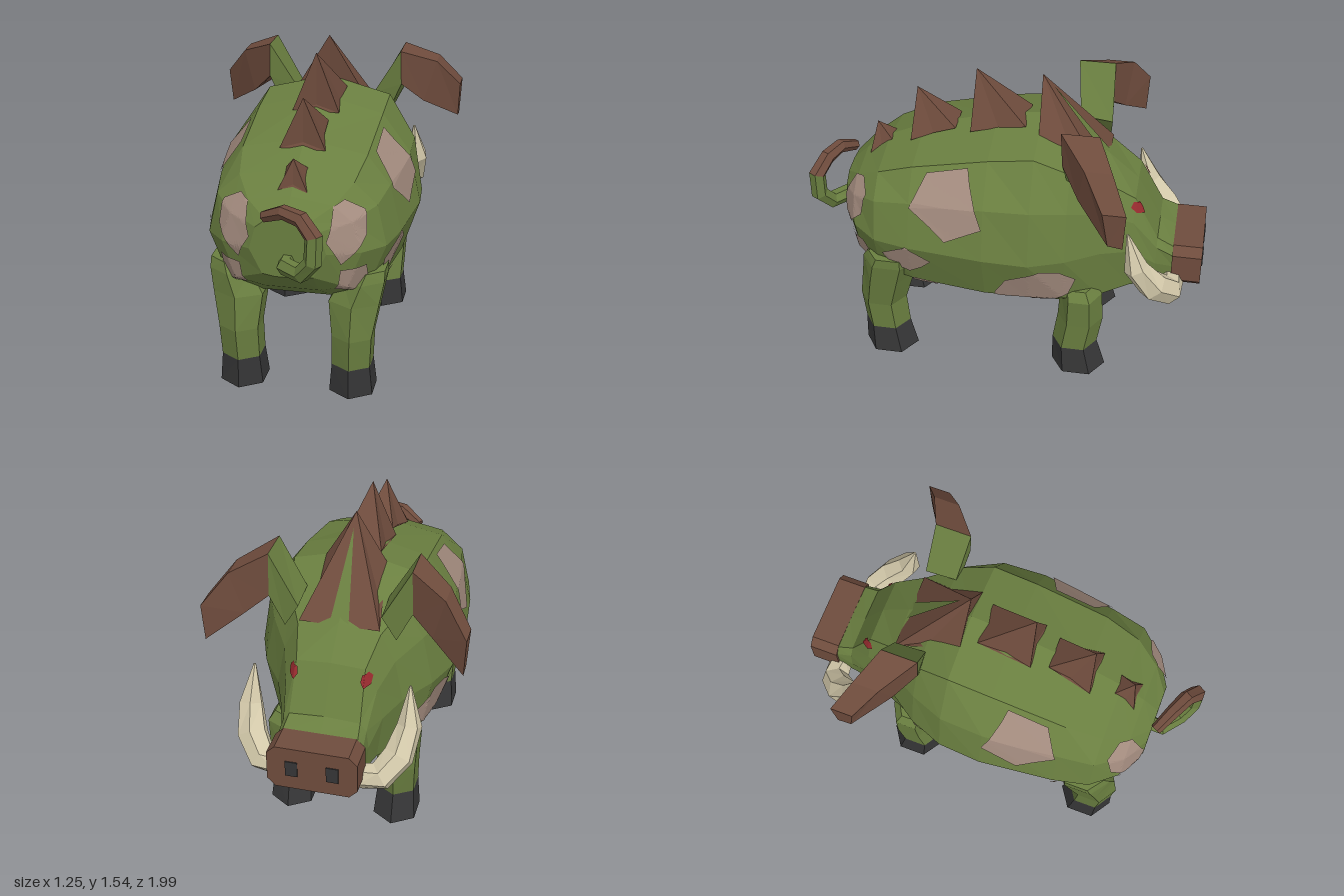
import * as THREE from 'three';

const V = (x, y, z) => new THREE.Vector3(x, y, z);
const mat = (name, color) => Object.assign(new THREE.MeshStandardMaterial({ color }), { name });

// Faceted solid through rings of points, closed at both ends and wound outwards
function loft(rings) {
  const n = rings[0].length, tris = [];
  for (let i = 0; i < rings.length - 1; i++) {
    for (let j = 0; j < n; j++) {
      const a = rings[i][j], b = rings[i][(j + 1) % n];
      const c = rings[i + 1][(j + 1) % n], d = rings[i + 1][j];
      tris.push([a, b, c], [a, c, d]);
    }
  }
  const first = rings[0], last = rings[rings.length - 1];
  for (let j = 1; j < n - 1; j++) {
    tris.push([first[0], first[j + 1], first[j]], [last[0], last[j], last[j + 1]]);
  }
  const volume = tris.reduce((s, [a, b, c]) => s + a.dot(b.clone().cross(c)), 0);
  return fromTriangles(volume < 0 ? tris.map(([a, b, c]) => [a, c, b]) : tris);
}

function fromTriangles(tris) {
  const g = new THREE.BufferGeometry().setFromPoints(tris.flat());
  g.computeVertexNormals();
  return g;
}

// Hexagonal rings along a path
function pathRings(path, radii, ref) {
  return path.map((p, i) => {
    const t = path[Math.min(i + 1, path.length - 1)].clone().sub(path[Math.max(i - 1, 0)]).normalize();
    const u = t.clone().cross(ref).normalize(), v = t.clone().cross(u);
    return Array.from({ length: 6 }, (_, k) => {
      const a = (k + 0.5) * Math.PI / 3;
      return p.clone().addScaledVector(u, radii[i] * Math.cos(a)).addScaledVector(v, radii[i] * Math.sin(a));
    });
  });
}

// Thin painted patch: an outline projected onto a target mesh
function patch(target, outline, toOrigin, dir) {
  const steps = 6, bands = 10, ray = new THREE.Raycaster(), edge = [], tris = [];
  const cx = outline.reduce((s, p) => s + p[0], 0) / outline.length;
  const cy = outline.reduce((s, p) => s + p[1], 0) / outline.length;
  outline.forEach((p, i) => {
    const q = outline[(i + 1) % outline.length];
    for (let k = 0; k < steps; k++) edge.push([p[0] + (q[0] - p[0]) * k / steps, p[1] + (q[1] - p[1]) * k / steps]);
  });
  const project = (p, f) => {
    ray.set(toOrigin(cx + (p[0] - cx) * f, cy + (p[1] - cy) * f), dir);
    const hit = ray.intersectObject(target)[0];
    return hit && hit.point.addScaledVector(dir, -0.009);
  };
  const rows = Array.from({ length: bands + 1 }, (_, b) => edge.map(p => project(p, b / bands)));
  const add = (a, b, c) => {
    if (!a || !b || !c) return;
    const facing = b.clone().sub(a).cross(c.clone().sub(a)).dot(dir) < 0;
    tris.push(facing ? [a, b, c] : [a, c, b]);
  };
  for (let b = 0; b < bands; b++) {
    for (let j = 0; j < edge.length; j++) {
      const k = (j + 1) % edge.length;
      add(rows[b][j], rows[b + 1][j], rows[b + 1][k]);
      if (b > 0) add(rows[b][j], rows[b + 1][k], rows[b][k]);
    }
  }
  return fromTriangles(tris);
}

export function createModel() {
  const group = new THREE.Group();
  const green = mat('green hide', 0x6a7f40), brown = mat('brown horn', 0x6f4c3d);
  const pink = mat('dusty pink patch', 0xa48c7f), cream = mat('ivory', 0xd3c9aa);
  const dark = mat('dark hoof', 0x363637), red = mat('red eye', 0x962a2e);
  const add = (name, geometry, material) => {
    const m = new THREE.Mesh(geometry, material);
    m.name = name;
    group.add(m);
    return m;
  };

  // Body and head: z, top y, then ridge, shoulder, flank, lower and belly points (x, y)
  const sections = [
    [0.80, 0.95, 0.10, 0.94, 0.15, 0.90, 0.18, 0.79, 0.12, 0.67, 0.06, 0.66],
    [0.72, 1.03, 0.20, 1.00, 0.28, 0.93, 0.33, 0.78, 0.26, 0.60, 0.13, 0.57],
    [0.60, 1.12, 0.27, 1.07, 0.38, 0.97, 0.425, 0.77, 0.33, 0.53, 0.17, 0.49],
    [0.42, 1.20, 0.30, 1.14, 0.41, 1.00, 0.465, 0.77, 0.38, 0.52, 0.20, 0.43],
    [0.05, 1.30, 0.31, 1.22, 0.45, 1.03, 0.505, 0.77, 0.42, 0.51, 0.20, 0.42],
    [-0.17, 1.33, 0.31, 1.25, 0.44, 1.03, 0.485, 0.75, 0.40, 0.50, 0.18, 0.37],
    [-0.34, 1.25, 0.28, 1.17, 0.37, 1.00, 0.42, 0.75, 0.36, 0.48, 0.17, 0.31],
    [-0.50, 1.13, 0.20, 1.09, 0.27, 0.95, 0.31, 0.74, 0.28, 0.46, 0.15, 0.38],
    [-0.65, 1.00, 0.165, 0.99, 0.22, 0.88, 0.25, 0.73, 0.22, 0.50, 0.13, 0.46],
    [-0.77, 0.78, 0.17, 0.77, 0.20, 0.73, 0.21, 0.64, 0.20, 0.52, 0.15, 0.49],
    [-0.86, 0.735, 0.18, 0.73, 0.205, 0.69, 0.205, 0.63, 0.20, 0.55, 0.17, 0.52],
  ];
  const body = add('body', loft(sections.map(([z, top, ...p]) => {
    const half = [0, 2, 4, 6, 8].map(i => V(p[i], p[i + 1], z));
    const other = half.map(q => V(-q.x, q.y, z)).reverse();
    return [V(0, top, z), ...half, V(0, p[9], z), ...other];
  })), green);

  // Snout with chamfered corners
  const w = 0.215, lo = 0.515, hi = 0.74, c = 0.04;
  const snoutRing = z => [[w - c, lo], [w, lo + c], [w, hi - c], [w - c, hi],
    [c - w, hi], [-w, hi - c], [-w, lo + c], [c - w, lo]].map(([x, y]) => V(x, y, z));
  add('snout', loft([snoutRing(-0.85), snoutRing(-0.995)]), brown);

  // Spikes with hollowed sides: apex y, z; rear z, y, half width; front z, y, half width
  const spikes = [
    [1.19, 0.66, 0.69, 1.04, 0.07, 0.58, 1.12, 0.05],
    [1.41, 0.45, 0.47, 1.165, 0.11, 0.25, 1.24, 0.08],
    [1.54, 0.155, 0.17, 1.25, 0.115, -0.10, 1.30, 0.105],
    [1.54, -0.165, -0.17, 1.29, 0.15, -0.50, 1.11, 0.195],
  ].map(([ay, az, rz, ry, rw, fz, fy, fw]) => {
    const mid = s => V(s * 0.43 * (rw + fw), (ry + fy) / 2, (rz + fz) / 2);
    const base = [V(-rw, ry, rz), V(0, ry + 0.03, rz - 0.015), V(rw, ry, rz), mid(1),
      V(fw, fy, fz), V(-fw, fy, fz), mid(-1)];
    return add('backSpike', loft([base, base.map(() => V(0, ay, az))]), brown);
  });
  add('crestStripe', patch(spikes[3], [[-0.045, -0.497], [0.045, -0.497], [0, -0.22]],
    (x, z) => V(x, 3, z), V(0, -1, 0)), green);

  // Curled tail with a brown end
  const tail = pathRings([V(0, 0.74, 0.76), V(0, 0.735, 0.84), V(0.09, 0.74, 0.91), V(0.15, 0.82, 0.95),
    V(0.155, 0.94, 0.95), V(0.09, 1.005, 0.91), V(0, 1.015, 0.87), V(-0.1, 0.965, 0.82)],
  [0.04, 0.043, 0.043, 0.043, 0.043, 0.039, 0.035, 0.028], V(0.5, 0, -0.86));
  add('tail', loft(tail.slice(0, 5)), green);
  add('tailEnd', loft(tail.slice(4)), brown);

  // Hide patches: flank outlines as (z, y), rump outlines as (distance along the diagonal, y)
  const sidePatches = [
    [[0.417, 0.985], [0.342, 1.135], [0.14, 1.185], [0.123, 1.12], [0.053, 0.935], [0.235, 0.84], [0.31, 0.905]],
    [[0.567, 0.69], [0.433, 0.78], [0.31, 0.7], [0.363, 0.64], [0.43, 0.59], [0.53, 0.62]],
    [[0, 0.53], [-0.06, 0.637], [-0.225, 0.706], [-0.315, 0.69], [-0.395, 0.62], [-0.36, 0.52], [-0.2, 0.43], [-0.04, 0.44]],
    [[0.42, 0.54], [0.28, 0.53], [0.4, 0.45]],
  ];
  const rumpPatches = [
    [[-0.375, 1.0], [-0.44, 0.85], [-0.37, 0.73], [-0.235, 0.86], [-0.225, 0.97], [-0.31, 1.02]],
    [[-0.37, 0.7], [-0.235, 0.705], [-0.2, 0.61], [-0.28, 0.565], [-0.37, 0.59]],
  ];

  // Legs: y, centre x, centre z, half width, half depth
  const legs = {
    rear: [[0.64, 0.34, 0.54, 0.08, 0.12], [0.59, 0.32, 0.55, 0.1, 0.14], [0.48, 0.28, 0.575, 0.12, 0.135],
      [0.31, 0.275, 0.61, 0.095, 0.12], [0.15, 0.27, 0.595, 0.092, 0.118], [0, 0.27, 0.578, 0.105, 0.138]],
    front: [[0.52, 0.27, -0.4, 0.08, 0.09], [0.47, 0.28, -0.415, 0.1, 0.105],
      [0.31, 0.275, -0.415, 0.095, 0.115], [0.15, 0.27, -0.39, 0.092, 0.114], [0, 0.27, -0.412, 0.105, 0.138]],
  };

  for (const s of [1, -1]) {
    const mirror = rings => rings.map(r => r.map(p => V(s * p.x, p.y, p.z)));

    for (const [name, rows] of Object.entries(legs)) {
      const rings = mirror(rows.map(([y, x, z, rx, rz]) => [[0, 1], [1, 0.5], [1, -0.5], [0, -1], [-1, -0.5], [-1, 0.5]]
        .map(([a, b]) => V(x + a * rx, y, z + b * rz))));
      add(name + 'Leg', loft(rings.slice(0, -1)), green);
      add(name + 'Hoof', loft(rings.slice(-2)), dark);
    }

    // Folded ear: green root, brown flap
    const ear = mirror([
      [V(0.2, 1.18, -0.49), V(0.2, 1.2, -0.33), V(0.29, 1.13, -0.33), V(0.27, 1.06, -0.48)],
      [V(0.34, 1.435, -0.48), V(0.34, 1.435, -0.3), V(0.345, 1.26, -0.31), V(0.345, 1.21, -0.48)],
      [V(0.51, 1.355, -0.56), V(0.51, 1.355, -0.43), V(0.45, 1.15, -0.4), V(0.45, 1.13, -0.53)],
      [V(0.625, 1.21, -0.64), V(0.625, 1.21, -0.53), V(0.615, 1.03, -0.56), V(0.615, 1.02, -0.63)],
    ]);
    add('earRoot', loft(ear.slice(0, 2)), green);
    add('earFlap', loft(ear.slice(1)), brown);

    // Upturned tusk
    add('tusk', loft(mirror(pathRings([V(0.19, 0.535, -0.855), V(0.285, 0.545, -0.845), V(0.355, 0.62, -0.77),
      V(0.385, 0.74, -0.685), V(0.375, 0.925, -0.635)], [0.06, 0.072, 0.076, 0.06, 0.006], V(0.7, 0, -0.7)))), cream);

    // Painted details
    const d = Math.SQRT1_2;
    for (const p of sidePatches) add('flankPatch', patch(body, p, (z, y) => V(s * 3, y, z), V(-s, 0, 0)), pink);
    for (const p of rumpPatches) {
      add('rumpPatch', patch(body, p, (u, y) => V(s * d * (3 + u), y, d * (3 - u)), V(-s * d, 0, -d)), pink);
    }
    add('eye', patch(body, [[0.15, 0.94], [0.155, 0.97], [0.18, 0.978], [0.198, 0.955], [0.195, 0.925], [0.168, 0.915]],
      (x, y) => V(s * x, y, -3), V(0, 0, 1)), red);
    add('nostril', new THREE.BoxGeometry(0.058, 0.08, 0.008).translate(s * 0.097, 0.628, -0.996), dark);
  }
  return group;
}
